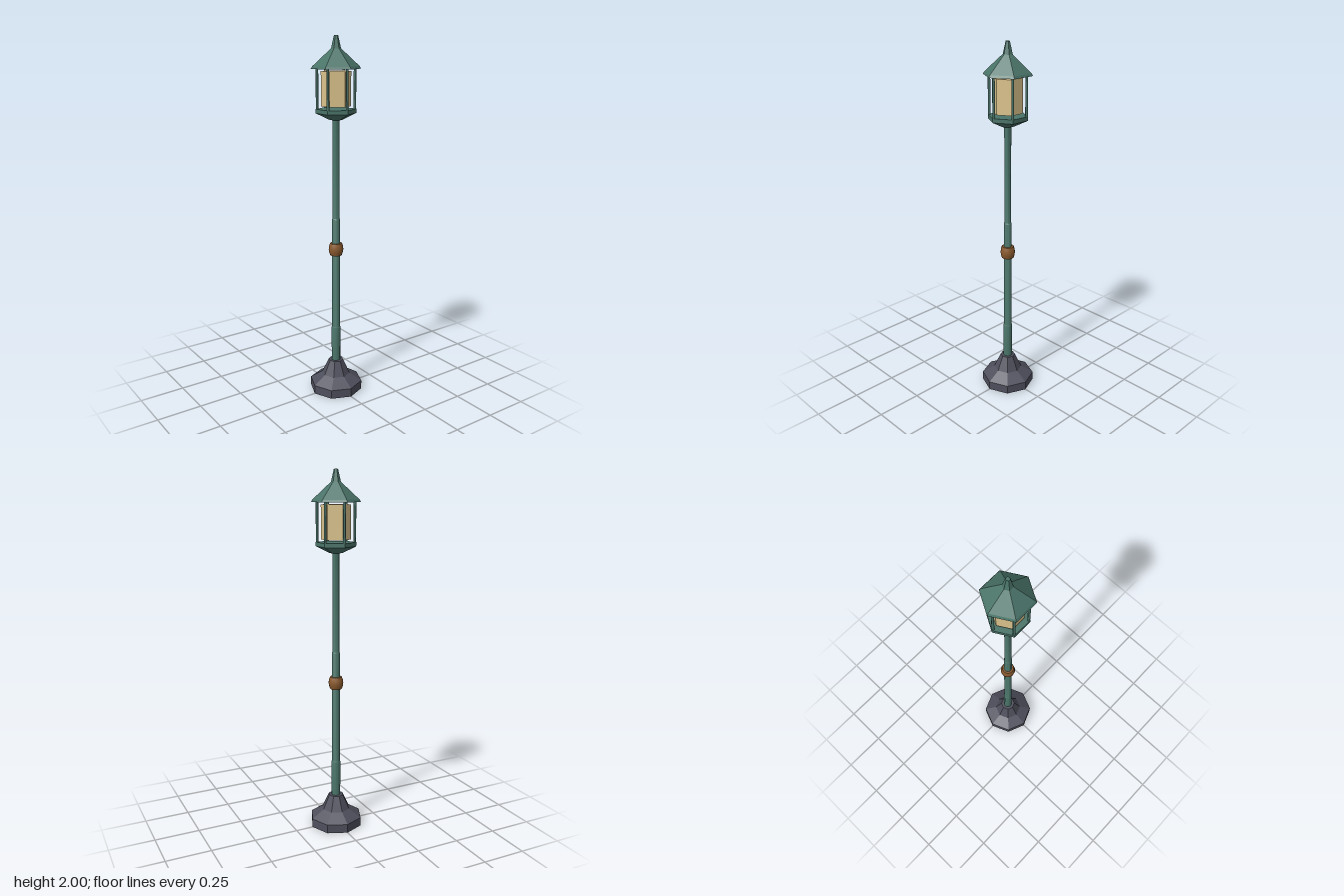
import * as THREE from 'three';
import { toCreasedNormals } from 'three/addons/utils/BufferGeometryUtils.js';

function paint(name, color) {
  const m = new THREE.MeshStandardMaterial({ color });
  m.name = name;
  return m;
}

// Turned solid from [radius, height] pairs, listed bottom to top; first vertex lies on +z
function turned(profile, sides, crease) {
  const points = profile.map(([r, y]) => new THREE.Vector2(r, y));
  return toCreasedNormals(new THREE.LatheGeometry(points, sides), crease);
}

export function createModel() {
  const model = new THREE.Group();
  model.name = 'streetLamp';

  const green = paint('patina green', 0x4a7469);
  const stone = paint('slate grey', 0x4e4f5c);
  const bronze = paint('bronze', 0x8a5a2e);
  const glass = paint('warm glass', 0xdcc48c);

  const add = (name, geometry, material, parent = model) => {
    const mesh = new THREE.Mesh(geometry, material);
    mesh.name = name;
    parent.add(mesh);
    return mesh;
  };

  // Octagonal foot
  add('base', turned([
    [0, 0], [0.15, 0], [0.15, 0.05], [0.08, 0.095], [0.042, 0.178], [0, 0.178],
  ], 8, 0.2), stone);

  // Post, stepping in as it rises
  add('post', turned([
    [0.025, 0.17], [0.025, 0.38], [0.0225, 0.385], [0.0225, 1.02],
    [0.019, 1.025], [0.019, 1.575],
  ], 12, 0.6), green);

  // Rounded collar, flat at both ends
  add('collar', turned([
    [0, 0.815], [0.033, 0.815], [0.039, 0.832], [0.041, 0.849],
    [0.039, 0.866], [0.033, 0.883], [0, 0.883],
  ], 12, 0.9), bronze);

  const lantern = new THREE.Group();
  lantern.name = 'lantern';
  model.add(lantern);

  // Hexagonal tray under the glass
  add('tray', turned([
    [0, 1.567], [0.035, 1.567], [0.108, 1.602], [0.108, 1.624], [0, 1.624],
  ], 6, 0.2), green, lantern);

  // Glass body
  add('glass', turned([
    [0, 1.638], [0.08, 1.638], [0.08, 1.82], [0, 1.82],
  ], 6, 0.2), glass, lantern);

  // Corner bars
  const barShape = new THREE.CylinderGeometry(0.007, 0.007, 0.22, 6);
  for (let i = 0; i < 6; i++) {
    const a = i * Math.PI / 3;
    add('cornerBar', barShape, green, lantern)
      .position.set(0.1 * Math.sin(a), 1.727, 0.1 * Math.cos(a));
  }

  // Roof with its narrow finial
  add('roof', turned([
    [0, 1.832], [0.132, 1.832], [0.124, 1.845], [0.026, 1.935], [0.011, 2], [0, 2],
  ], 6, 0.1), green, lantern);

  return model;
}
